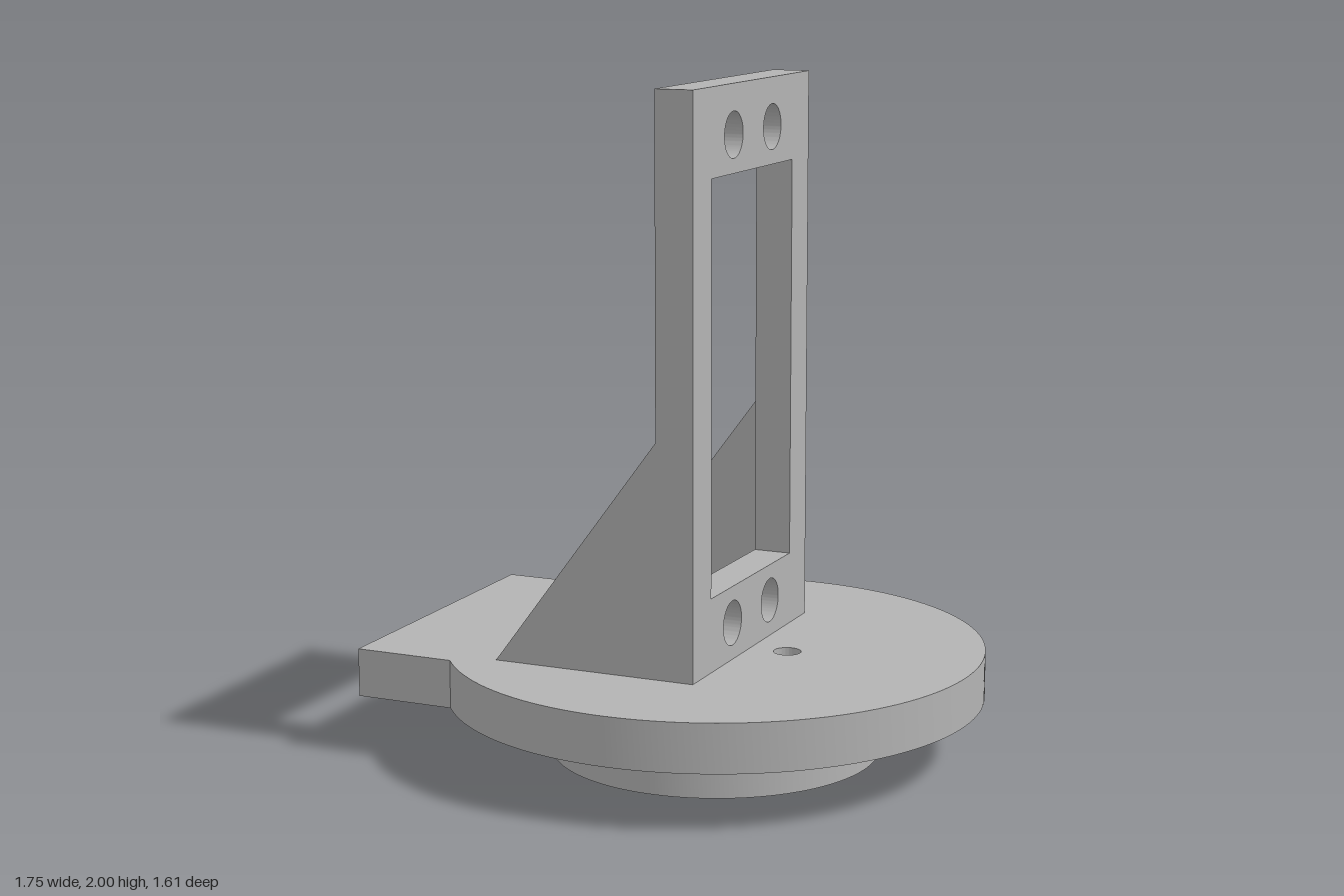
import * as THREE from 'three';
import { toCreasedNormals } from 'three/addons/utils/BufferGeometryUtils.js';

const CX = 0.07; // axis of the round base

export function createModel() {
  const group = new THREE.Group();
  const grey = new THREE.MeshStandardMaterial({ color: 0xb3b3b3 });

  const add = (name, geometry) => {
    const mesh = new THREE.Mesh(geometry, grey);
    mesh.name = name;
    group.add(mesh);
  };
  const circle = (Type, x, y, r) => new Type().absarc(x, y, r, 0, Math.PI * 2, false);
  const extrude = (shape, depth) => toCreasedNormals(
    new THREE.ExtrudeGeometry(shape, { depth, bevelEnabled: false, curveSegments: 64 }), 0.5);
  // Horizontal slab between two heights
  const slab = (shape, y0, y1) => extrude(shape, y1 - y0).rotateX(-Math.PI / 2).translate(0, y0, 0);

  // Round base plate with a square tab and four screw holes
  const R = 0.803, tab = 0.49;
  const a = Math.PI - Math.asin(tab / R);
  const base = new THREE.Shape();
  base.moveTo(-0.875, tab);
  base.lineTo(-0.875, -tab);
  base.absarc(CX, 0, R, -a, a, false);
  base.closePath();
  for (const [dx, dz] of [[0.23, 0], [-0.23, 0], [0, 0.23], [0, -0.23]])
    base.holes.push(circle(THREE.Path, CX + dx, dz, 0.041));
  add('basePlate', slab(base, 0.175, 0.32));

  // Thin shoulder and hollow boss beneath the base
  const ring = (r) => {
    const shape = circle(THREE.Shape, CX, 0, r);
    shape.holes.push(circle(THREE.Path, CX, 0, 0.37));
    return shape;
  };
  add('shoulder', slab(ring(0.575), 0.165, 0.175));
  add('boss', slab(ring(0.492), 0, 0.165));

  // Upright frame with a window and four mounting holes
  const rect = (path, w, y0, y1) => {
    path.moveTo(-w, y0);
    path.lineTo(w, y0);
    path.lineTo(w, y1);
    path.lineTo(-w, y1);
    path.closePath();
    return path;
  };
  const frame = rect(new THREE.Shape(), 0.43, 0.32, 2);
  frame.holes.push(rect(new THREE.Path(), 0.3, 0.54, 1.745));
  for (const y of [0.43, 1.855])
    for (const z of [-0.143, 0.143]) frame.holes.push(circle(THREE.Path, z, y, 0.067));
  add('uprightFrame', extrude(frame, 0.115).rotateY(Math.PI / 2).translate(CX, 0, 0));

  // Triangular braces, one on each side
  const brace = new THREE.Shape();
  brace.moveTo(-0.445, 0.32);
  brace.lineTo(CX, 0.32);
  brace.lineTo(CX, 1.01);
  brace.closePath();
  add('frontBrace', extrude(brace, 0.115).translate(0, 0, 0.315));
  add('backBrace', extrude(brace, 0.115).translate(0, 0, -0.43));

  return group;
}
